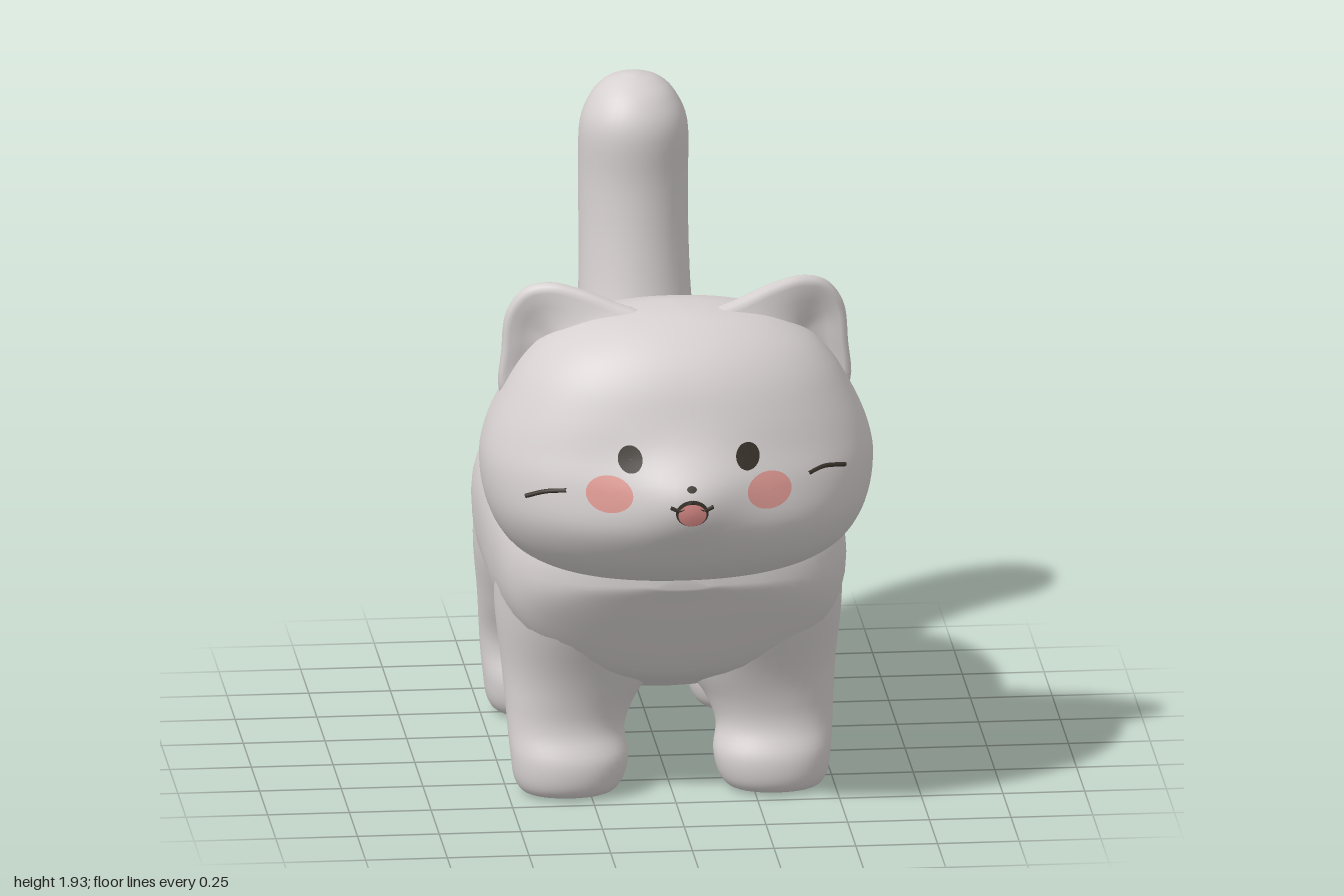
import * as THREE from 'three';

const mat = (name, color) => Object.assign(new THREE.MeshStandardMaterial({ color }), { name });

// Smooth interpolation between profile rows, u runs from 0 to 1
function sampleRow(rows, u) {
  const f = u * (rows.length - 1), i = Math.min(Math.floor(f), rows.length - 2), t = f - i;
  const at = k => rows[Math.max(0, Math.min(rows.length - 1, k))];
  return rows[0].map((_, c) => {
    const [p, q, r, s] = [at(i - 1)[c], at(i)[c], at(i + 1)[c], at(i + 2)[c]];
    return q + 0.5 * t * (r - p + t * (2 * p - 5 * q + 4 * r - s + t * (3 * (q - r) + s - p)));
  });
}

// Closed smooth skin over a stack of rings
function skin(rings) {
  const n = rings[0].length, m = rings.length, pts = rings.flat(), index = [];
  const centre = r => r.reduce((s, p) => s.add(p), new THREE.Vector3()).divideScalar(n);
  pts.push(centre(rings[0]), centre(rings[m - 1]));
  for (let j = 0; j < n; j++) {
    const k = (j + 1) % n;
    for (let i = 0; i < m - 1; i++) {
      const a = i * n + j, b = a + n, c = i * n + k, d = c + n;
      index.push(a, b, c, c, b, d);
    }
    index.push(m * n, j, k, m * n + 1, (m - 1) * n + k, (m - 1) * n + j);
  }
  const g = new THREE.BufferGeometry().setFromPoints(pts);
  g.setIndex(index);
  g.computeVertexNormals();
  return g;
}

// Loft of superellipses; row = [position, aMin, aMax, bMin, bMax]
// Along y: a = x, b = z.  Along z: a = y, b = x.
function loft(rows, { axis = 'y', power = 2, ca, cb, steps = 44, sides = 48, move } = {}) {
  const rings = [];
  for (let i = 0; i <= steps; i++) {
    const [t, a0, a1, b0, b1] = sampleRow(rows, i / steps);
    const ma = ca ?? (a0 + a1) / 2, mb = cb ?? (b0 + b1) / 2, ring = [];
    for (let j = 0; j < sides; j++) {
      const th = (j / sides) * Math.PI * 2, c = Math.cos(th), s = Math.sin(th);
      const pc = Math.abs(c) ** (2 / power), ps = Math.abs(s) ** (2 / power);
      const a = c > 0 ? ma + (a1 - ma) * pc : ma - (ma - a0) * pc;
      const b = s > 0 ? mb + (b1 - mb) * ps : mb - (mb - b0) * ps;
      const p = axis === 'y' ? new THREE.Vector3(a, t, b) : new THREE.Vector3(b, a, t);
      if (move) move(p);
      ring.push(p);
    }
    rings.push(ring);
  }
  return skin(rings);
}

function mirrorX(geo) {
  const g = geo.clone().scale(-1, 1, 1), ix = g.index.array;
  for (let i = 0; i < ix.length; i += 3) [ix[i], ix[i + 1]] = [ix[i + 1], ix[i]];
  g.computeVertexNormals();
  return g;
}

// Head profile: y, half width, back z, front z
const HEAD_Z = 0.5, HEAD_POWER = 2.2;
const headRows = [
  [0.74, 0.05, 0.42, 0.56], [0.75, 0.2, 0.3, 0.63], [0.78, 0.36, 0.18, 0.73], [0.83, 0.47, 0.1, 0.82],
  [0.9, 0.54, 0.03, 0.895], [1.0, 0.585, 0, 0.945], [1.12, 0.6, -0.01, 0.928], [1.22, 0.58, 0, 0.895],
  [1.32, 0.535, 0.05, 0.868], [1.42, 0.475, 0.13, 0.83], [1.5, 0.395, 0.22, 0.775],
  [1.56, 0.28, 0.32, 0.7], [1.59, 0.14, 0.42, 0.62], [1.6, 0.02, 0.48, 0.54],
].map(([y, w, zb, zf]) => [y, -w, w, zb, zf]);
const muzzle = (x, y) => 0.068 * Math.exp(-((x / 0.16) ** 2) - ((y - 1.11) / 0.12) ** 2);

// Front surface of the head at x, y
function faceZ(x, y) {
  let lo = 0, hi = 1;
  for (let i = 0; i < 30; i++) {
    const mid = (lo + hi) / 2;
    if (sampleRow(headRows, mid)[0] < y) lo = mid; else hi = mid;
  }
  const [, , w, , zf] = sampleRow(headRows, lo);
  const depth = Math.max(0, 1 - Math.abs(x / w) ** HEAD_POWER) ** (1 / HEAD_POWER);
  return HEAD_Z + (zf - HEAD_Z) * depth + muzzle(x, y);
}

// Thin oval laid on the face
function faceOval(x, y, rx, ry, lift) {
  const g = new THREE.RingGeometry(0.01, 1, 28, 4).scale(rx, ry, 1).translate(x, y, 0);
  const p = g.attributes.position;
  for (let i = 0; i < p.count; i++) p.setZ(i, faceZ(p.getX(i), p.getY(i)) + lift);
  g.computeVertexNormals();
  return g;
}

// Thin line following the face; points = [x, y, lift]
function faceLine(points, r) {
  const path = new THREE.CatmullRomCurve3(points.map(([x, y, l]) => new THREE.Vector3(x, y, faceZ(x, y) + l)));
  return new THREE.TubeGeometry(path, 14, r, 6);
}

function earGeometry() {
  const outline = new THREE.CatmullRomCurve3([
    [0.06, 1.55], [0.2, 1.615], [0.3, 1.65], [0.385, 1.665], [0.46, 1.645], [0.515, 1.57],
    [0.53, 1.45], [0.53, 1.3], [0.4, 1.25], [0.2, 1.35],
  ].map(([x, y]) => new THREE.Vector3(x, y, 0)), true).getPoints(48).slice(0, 48);
  // scale, z, centre: back slope sinking into the head first, then rim and shallow front
  const rings = [
    [0.3, 0.15, 0.2, 1.2], [0.52, 0.21, 0.2, 1.2], [0.69, 0.285, 0.2, 1.2], [0.85, 0.37, 0.2, 1.2],
    [0.945, 0.43, 0.2, 1.2], [0.99, 0.465, 0.2, 1.2], [1, 0.485, 0.2, 1.2], [0.96, 0.505, 0.38, 1.48],
    [0.85, 0.51, 0.38, 1.48], [0.6, 0.505, 0.38, 1.48], [0.3, 0.5, 0.38, 1.48],
  ].map(([s, z, cx, cy]) => outline.map(p =>
    new THREE.Vector3(cx + (p.x - cx) * s, cy + (p.y - cy) * s, z + (0.4 - p.x) * 0.25)));
  return skin(rings);
}

export function createModel() {
  const cat = new THREE.Group();
  cat.name = 'cat';
  const fur = mat('greyFur', 0xd6d1d0), dark = mat('darkBrown', 0x38322a);
  const blush = mat('blushPink', 0xe09a94), tongue = mat('tonguePink', 0xd98a86);
  const add = (name, geo, material) => {
    const mesh = new THREE.Mesh(geo, material);
    mesh.name = name;
    cat.add(mesh);
  };

  // Body: z, bottom, top, half width
  const bodyRows = [
    [-0.78, 0.68, 0.87, 0.05], [-0.755, 0.52, 1.0, 0.22], [-0.67, 0.4, 1.07, 0.4], [-0.55, 0.33, 1.095, 0.49],
    [-0.38, 0.26, 1.1, 0.54], [-0.15, 0.25, 1.1, 0.545], [0.1, 0.26, 1.1, 0.545], [0.25, 0.3, 1.1, 0.54],
    [0.4, 0.36, 1.1, 0.53], [0.5, 0.42, 1.08, 0.5], [0.6, 0.57, 1.0, 0.42], [0.67, 0.69, 0.92, 0.27],
    [0.7, 0.74, 0.85, 0.08],
  ].map(([z, y0, y1, w]) => [z, y0, y1, -w, w]);
  add('body', loft(bodyRows, { axis: 'z', power: 2.2, ca: 0.75 }), fur);

  // Head with a soft muzzle bump
  add('head', loft(headRows, {
    cb: HEAD_Z, power: HEAD_POWER, steps: 60, sides: 96,
    move: p => { if (p.z > HEAD_Z) p.z += muzzle(p.x, p.y); },
  }), fur);

  // Ears
  const ear = earGeometry();
  add('leftEar', ear, fur);
  add('rightEar', mirrorX(ear), fur);

  // Legs: shared y and x profile, own z range; the tops sink into the body
  const legX = [
    [0, 0.22, 0.41], [0.01, 0.175, 0.455], [0.05, 0.145, 0.48], [0.12, 0.13, 0.49], [0.2, 0.14, 0.497],
    [0.28, 0.11, 0.502], [0.4, 0.04, 0.512], [0.6, 0.02, 0.53], [0.8, 0.08, 0.505], [0.95, 0.2, 0.38],
  ];
  const legZ = {
    Front: [[0.26, 0.4], [0.22, 0.45], [0.19, 0.475], [0.185, 0.475], [0.17, 0.44],
      [0.13, 0.44], [0.03, 0.475], [-0.08, 0.565], [0, 0.6], [0.15, 0.45]],
    Hind: [[-0.6, -0.44], [-0.64, -0.4], [-0.665, -0.37], [-0.68, -0.36], [-0.69, -0.39],
      [-0.7, -0.365], [-0.705, -0.26], [-0.7, -0.12], [-0.63, -0.15], [-0.5, -0.3]],
  };
  for (const [name, zs] of Object.entries(legZ)) {
    const leg = loft(legX.map((r, i) => [...r, ...zs[i]]), { power: 2.1, sides: 36 });
    add(`left${name}Leg`, leg, fur);
    add(`right${name}Leg`, mirrorX(leg), fur);
  }

  // Upright tail flaring into the rump: y, half width, back z, front z
  const tailRows = [
    [0.7, 0.2, -0.7, -0.5], [0.82, 0.25, -0.78, -0.47], [0.95, 0.225, -0.84, -0.47],
    [1.08, 0.195, -0.895, -0.52], [1.2, 0.175, -0.945, -0.59],
    [1.4, 0.168, -0.988, -0.635], [1.6, 0.168, -1.0, -0.655], [1.77, 0.165, -0.975, -0.65],
    [1.86, 0.13, -0.945, -0.69], [1.91, 0.08, -0.89, -0.75], [1.93, 0.02, -0.83, -0.79],
  ].map(([y, w, z0, z1]) => [y, -w, w, z0, z1]);
  add('tail', loft(tailRows, { sides: 36 }), fur);

  // Eyes, cheeks and lips
  for (const [side, s] of [['left', 1], ['right', -1]]) {
    add(`${side}Eye`, faceOval(s * 0.18, 1.22, 0.037, 0.04, 0.007), dark);
    add(`${side}Cheek`, faceOval(s * 0.245, 1.115, 0.07, 0.056, 0.006), blush);
    add(`${side}Lip`, faceLine([[0, 1.11, 0.001], [s * 0.035, 1.082, 0.001], [s * 0.065, 1.09, 0.001]], 0.006), dark);
  }

  // Nose, mouth and whiskers
  add('nose', faceOval(0, 1.145, 0.015, 0.01, 0.004), dark);
  add('mouth', faceOval(0, 1.072, 0.05, 0.042, 0.003), dark);
  add('tongue', faceOval(0, 1.067, 0.043, 0.036, 0.006), tongue);
  add('leftWhisker', faceLine([[0.37, 1.145, 0.003], [0.42, 1.158, 0.006], [0.49, 1.15, 0.02]], 0.007), dark);
  add('rightWhisker', faceLine([[-0.37, 1.115, 0.003], [-0.43, 1.105, 0.006], [-0.49, 1.082, 0.02]], 0.007), dark);

  return cat;
}
